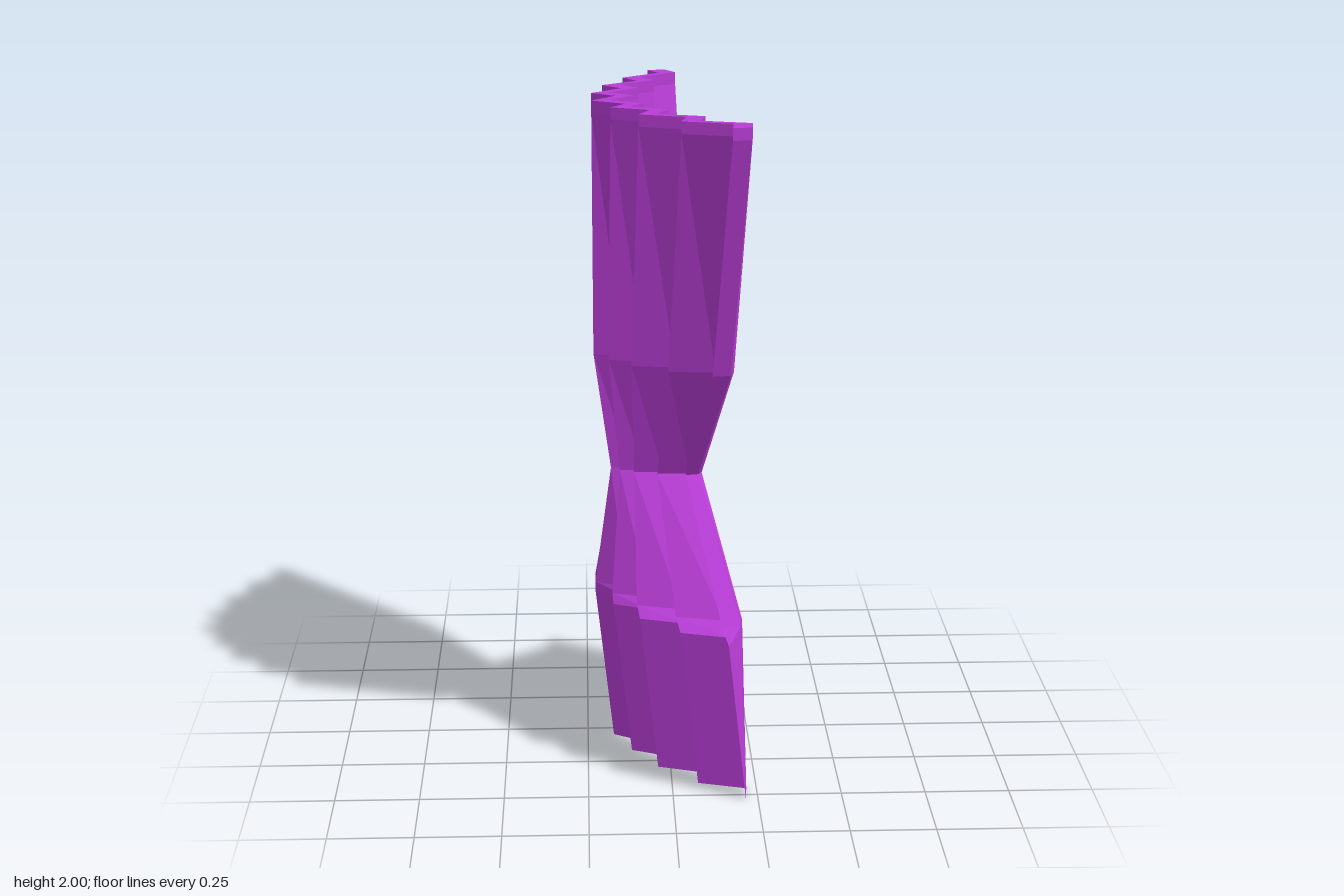
import * as THREE from 'three';

// Zigzag of the pleats in plan (x, z), along the inner face from back to front
const pleats = [
  [0.01, -0.535], [0.041, -0.477], [-0.07, -0.383], [-0.03, -0.318], [-0.135, -0.238],
  [-0.08, -0.176], [-0.169, -0.088], [-0.098, -0.034], [-0.169, 0.048], [-0.072, 0.11],
  [-0.115, 0.17], [-0.004, 0.22], [-0.038, 0.295], [0.095, 0.34], [0.078, 0.414],
  [0.22, 0.457], [0.214, 0.527],
];

// Axes of the gathering: along the cloth and across it, about a pivot
const along = new THREE.Vector2(0.19, 0.982);
const across = new THREE.Vector2(0.982, -0.19);
const pivot = new THREE.Vector2(-0.048, 0.027);
const thickness = 0.055;

// Levels from top to bottom: height, squeeze along, squeeze across
const levels = [
  [2, 1, 1],
  [1.965, 1, 1],
  [1.24, 0.605, 1],
  [0.88, 0.2285, 0.7145],
  [0.515, 0.855, 1],
  [0.487, 1, 1], // ledge at the top of the hem, outer face only
  [0, 1, 1], // the hem thins to an edge
];

function point(i, k, outer) {
  if (k === 5 && !outer) k = 4;
  const [y, sAlong, sAcross] = levels[k];
  const p = new THREE.Vector2(...pleats[i]);
  if (outer && y > 0) p.addScaledVector(across, -thickness);
  p.sub(pivot);
  const a = p.dot(along) * sAlong;
  const c = p.dot(across) * sAcross;
  p.copy(pivot).addScaledVector(along, a).addScaledVector(across, c);
  return new THREE.Vector3(p.x, y, p.y);
}

function clothGeometry() {
  const positions = [];
  const tri = (a, b, c) => {
    const area = b.clone().sub(a).cross(c.clone().sub(a)).length();
    if (area > 1e-7) for (const v of [a, b, c]) positions.push(v.x, v.y, v.z);
  };
  const quad = (a, b, c, d) => { tri(a, b, c); tri(a, c, d); };
  const out = (i, k) => point(i, k, true);
  const inn = (i, k) => point(i, k, false);
  const last = pleats.length - 1;

  for (let i = 0; i < last; i++) {
    // Top rim
    quad(out(i, 0), out(i + 1, 0), inn(i + 1, 0), inn(i, 0));
    // Outer and inner faces
    for (let k = 0; k < levels.length - 1; k++) {
      quad(out(i, k), out(i, k + 1), out(i + 1, k + 1), out(i + 1, k));
      quad(inn(i + 1, k), inn(i + 1, k + 1), inn(i, k + 1), inn(i, k));
    }
  }
  // Back and front end strips
  for (let k = 0; k < levels.length - 1; k++) {
    quad(inn(0, k), inn(0, k + 1), out(0, k + 1), out(0, k));
    quad(out(last, k), out(last, k + 1), inn(last, k + 1), inn(last, k));
  }

  const geometry = new THREE.BufferGeometry();
  geometry.setAttribute('position', new THREE.Float32BufferAttribute(positions, 3));
  geometry.computeVertexNormals();
  return geometry;
}

export function createModel() {
  const group = new THREE.Group();
  group.name = 'gatheredCurtain';
  const material = new THREE.MeshStandardMaterial({ color: 0xb83dd6, flatShading: true });
  const cloth = new THREE.Mesh(clothGeometry(), material);
  cloth.name = 'pleatedCloth';
  group.add(cloth);
  return group;
}
